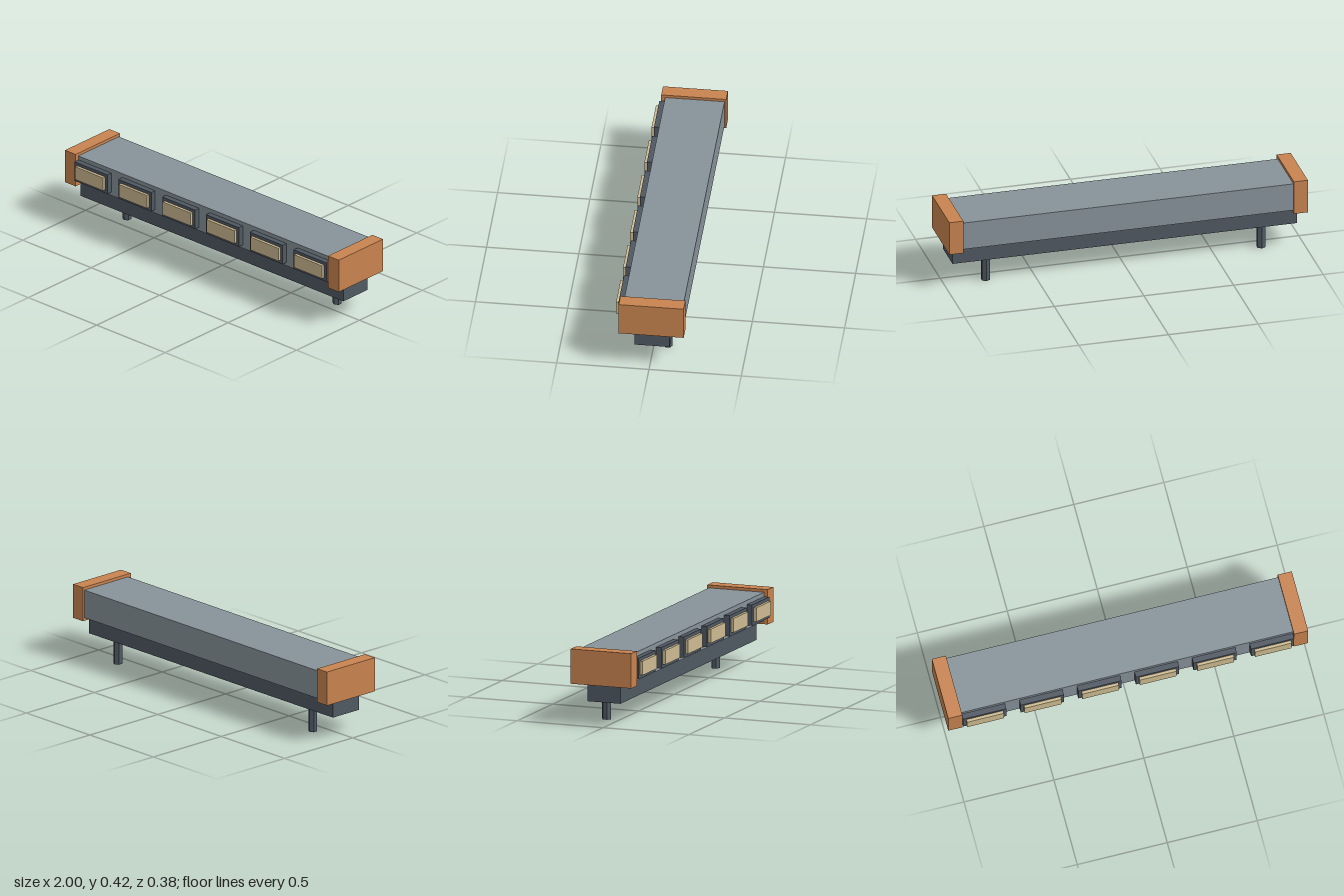
import * as THREE from 'three';

function material(name, color) {
  const m = new THREE.MeshStandardMaterial({ color });
  m.name = name;
  return m;
}

export function createModel() {
  const model = new THREE.Group();
  model.name = 'windowedBeam';
  const steel = material('steel grey', 0x87929a);
  const slate = material('dark slate', 0x4f5862);
  const copper = material('copper orange', 0xc8834f);
  const cream = material('cream', 0xcdbb91);

  // Box given by its [min, max] extent on each axis
  function box(name, mat, [x0, x1], [y0, y1], [z0, z1]) {
    const mesh = new THREE.Mesh(new THREE.BoxGeometry(x1 - x0, y1 - y0, z1 - z0), mat);
    mesh.position.set((x0 + x1) / 2, (y0 + y1) / 2, (z0 + z1) / 2);
    mesh.name = name;
    model.add(mesh);
  }

  // Long hull and the narrower base below it
  box('hull', steel, [-0.94, 0.94], [0.245, 0.402], [-0.179, 0.143]);
  box('base', slate, [-0.96, 0.96], [0.13, 0.245], [-0.107, 0.084]);

  // End caps
  box('rightEndCap', copper, [-1, -0.922], [0.227, 0.418], [-0.188, 0.164]);
  box('leftEndCap', copper, [0.922, 1], [0.227, 0.418], [-0.188, 0.164]);

  // Row of framed windows along the front
  for (let i = 0; i < 6; i++) {
    const x = -0.8 + i * 0.32;
    box('windowFrame', slate, [x - 0.12, x + 0.12], [0.265, 0.379], [0.141, 0.174]);
    box('windowPane', cream, [x - 0.102, x + 0.102], [0.284, 0.361], [0.172, 0.19]);
  }

  // Hexagonal legs
  const legShape = new THREE.CylinderGeometry(0.025, 0.025, 0.13, 6).toNonIndexed();
  legShape.computeVertexNormals();
  for (const side of [-1, 1]) {
    const leg = new THREE.Mesh(legShape, slate);
    leg.name = side > 0 ? 'leftLeg' : 'rightLeg';
    leg.position.set(side * 0.768, 0.065, -0.076);
    model.add(leg);
  }
  return model;
}
